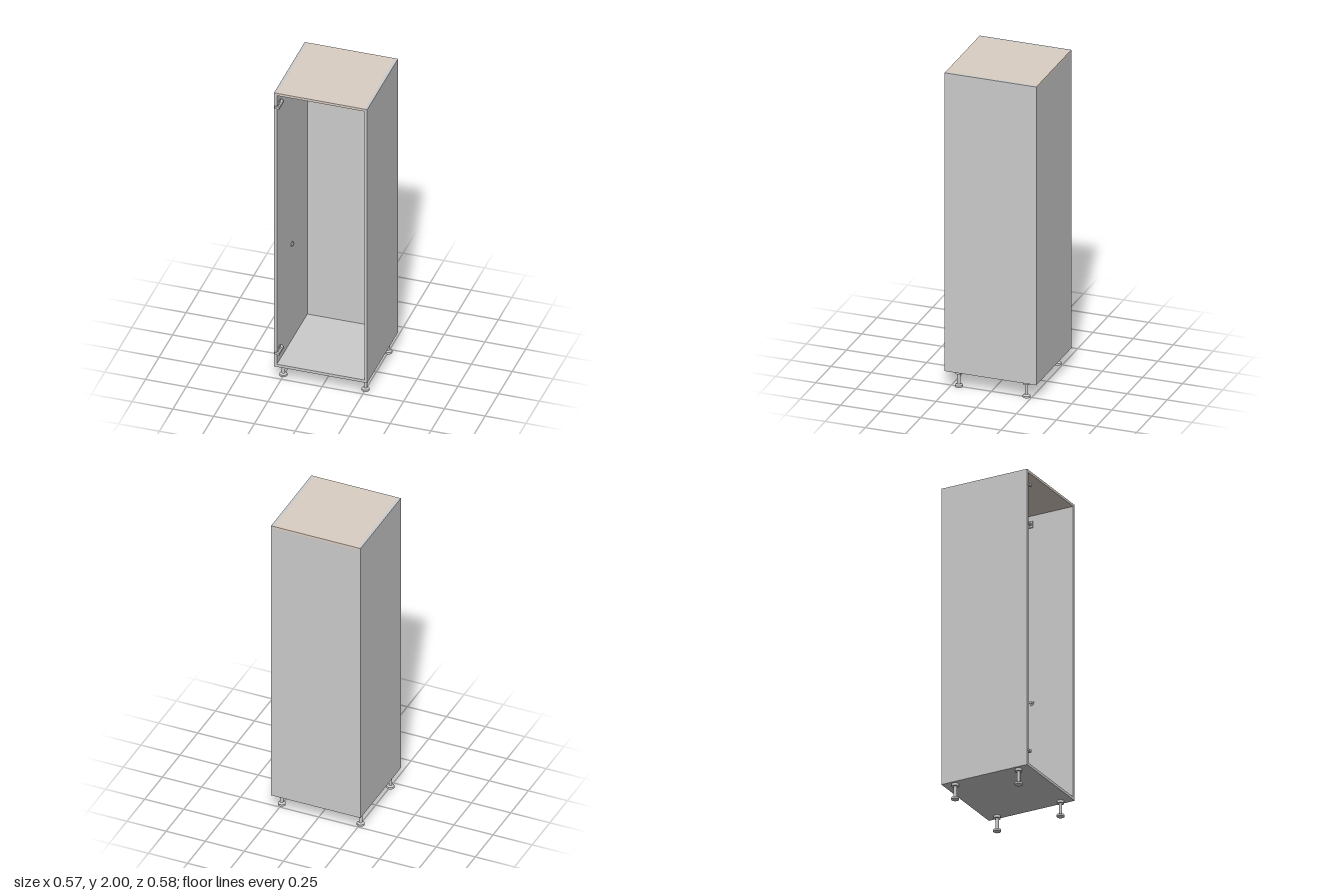
import * as THREE from 'three';

const grey = new THREE.MeshStandardMaterial({ color: 0xcccccc });
const tan = new THREE.MeshStandardMaterial({ color: 0xdacec3 });

// Carcass extents
const W = 0.286, BACK = -0.293, FRONT = 0.278, Y0 = 0.1, Y1 = 2, T = 0.018;
const INNER = W - T;

function add(parent, name, geometry, x, y, z, material = grey) {
  const mesh = new THREE.Mesh(geometry, material);
  mesh.name = name;
  mesh.position.set(x, y, z);
  parent.add(mesh);
  return mesh;
}

// Box given by its minimum and maximum on each axis
function slab(parent, name, [x0, x1], [y0, y1], [z0, z1], material = grey) {
  return add(parent, name, new THREE.BoxGeometry(x1 - x0, y1 - y0, z1 - z0),
    (x0 + x1) / 2, (y0 + y1) / 2, (z0 + z1) / 2, material);
}

// Cylinder lying along x
function rodX(parent, name, radius, length, x, y, z) {
  return add(parent, name, new THREE.CylinderGeometry(radius, radius, length, 24).rotateZ(Math.PI / 2), x, y, z);
}

function makeLeg(x, z) {
  const leg = new THREE.Group();
  leg.name = 'leg';
  const part = (name, r0, r1, y0, y1) =>
    add(leg, name, new THREE.CylinderGeometry(r1, r0, y1 - y0, 24), 0, (y0 + y1) / 2, 0);
  part('footPad', 0.023, 0.023, 0, 0.012);
  part('footCollar', 0.022, 0.011, 0.012, 0.018);
  part('legStem', 0.01, 0.01, 0.018, 0.085);
  part('legFlange', 0.021, 0.021, 0.084, Y0);
  leg.position.set(x, 0, z);
  return leg;
}

function makeHinge(y) {
  const hinge = new THREE.Group();
  hinge.name = 'hinge';
  slab(hinge, 'hingePlate', [-INNER, -INNER + 0.005], [-0.026, 0.026], [0.225, 0.245]);
  slab(hinge, 'hingeBase', [-INNER, -INNER + 0.009], [-0.009, 0.009], [0.2, 0.262]);
  slab(hinge, 'hingeArm', [-INNER + 0.007, -0.25], [-0.007, 0.007], [0.205, 0.282]);
  slab(hinge, 'hingeKnuckle', [-0.268, -0.25], [-0.008, 0.008], [0.276, 0.289]);
  slab(hinge, 'hingeTongue', [-0.28, -0.266], [-0.006, 0.006], [0.2785, 0.287]);
  hinge.position.y = y;
  return hinge;
}

export function createModel() {
  const cabinet = new THREE.Group();
  cabinet.name = 'tallCabinet';

  // Carcass panels
  for (const s of [-1, 1]) {
    slab(cabinet, s < 0 ? 'rightSide' : 'leftSide',
      s < 0 ? [-W, -INNER] : [INNER, W], [Y0, Y1], [BACK, FRONT]);
  }
  slab(cabinet, 'topPanel', [-INNER, INNER], [Y1 - 0.016, Y1], [BACK, FRONT], tan);
  slab(cabinet, 'bottomPanel', [-INNER, INNER], [Y0, Y0 + T], [BACK, FRONT]);
  slab(cabinet, 'backPanel', [-INNER, INNER], [Y0 + T, Y1 - 0.016], [BACK, BACK + 0.006]);

  // Clothes rail with its end brackets, and the pegs on the side walls
  rodX(cabinet, 'clothesRail', 0.008, 2 * INNER, 0, 1.927, 0);
  for (const s of [-1, 1]) {
    slab(cabinet, 'railBracket', s < 0 ? [-INNER, -INNER + 0.007] : [INNER - 0.007, INNER],
      [1.907, 1.948], [-0.012, 0.012]);
    rodX(cabinet, 'pegFlange', 0.017, 0.004, s * (INNER - 0.002), 0.783, 0);
    rodX(cabinet, 'peg', 0.009, 0.012, s * (INNER - 0.006), 0.783, 0);
  }

  // Door hinges
  for (const y of [0.197, 1.905]) cabinet.add(makeHinge(y));

  // Adjustable legs
  for (const x of [-0.253, 0.251]) {
    for (const z of [-0.219, 0.203]) cabinet.add(makeLeg(x, z));
  }
  return cabinet;
}
